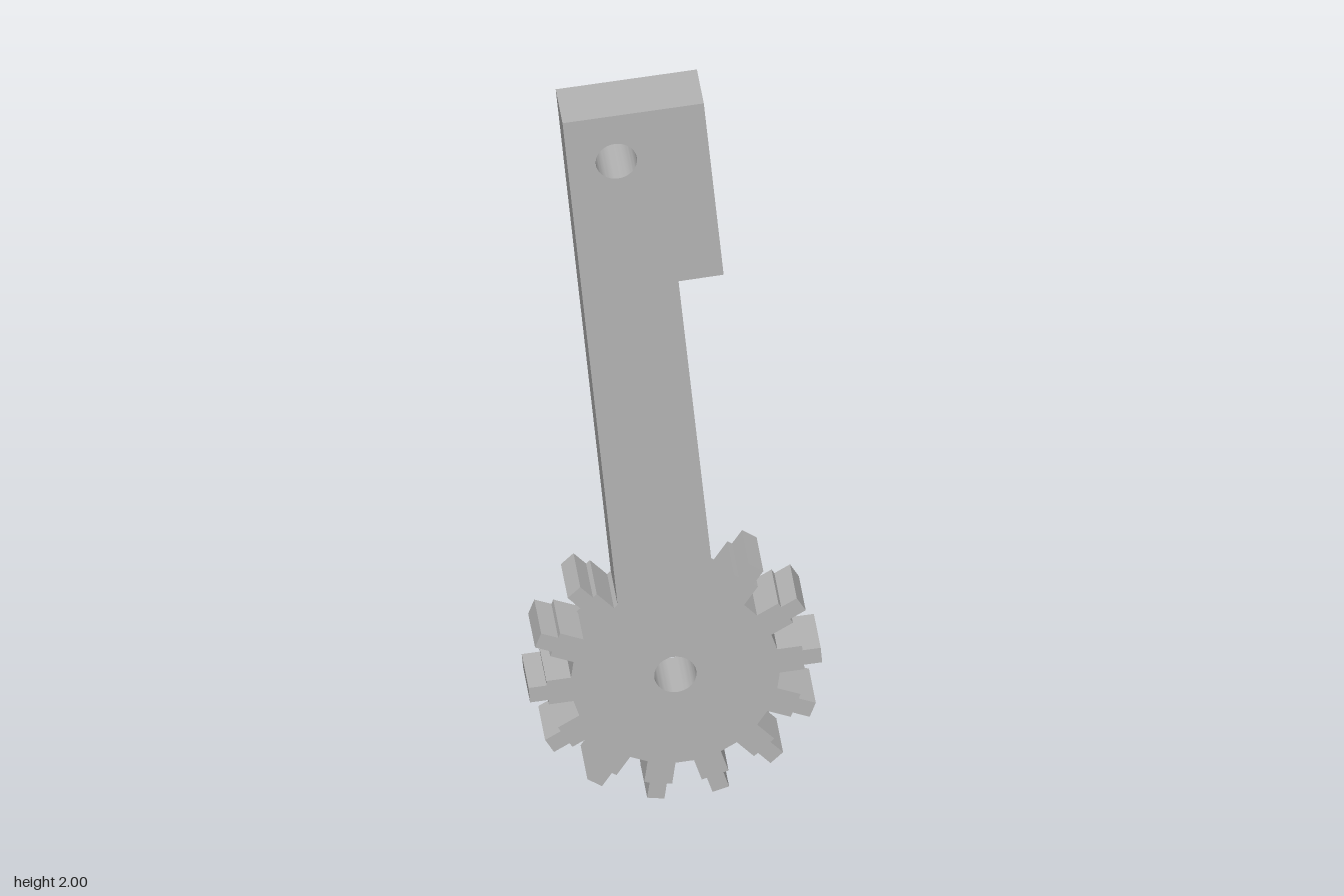
import * as THREE from 'three';
import { toCreasedNormals } from 'three/addons/utils/BufferGeometryUtils.js';

const DEPTH = 0.148;
const HUB = { x: -0.0025, y: 0.358 };
const TOOTH_COUNT = 14;
const VISIBLE_TEETH = 12; // the arm takes the place of two teeth

// Half outline of one stepped tooth: [distance from hub, half width]
const TOOTH_PROFILE = [[0.25, 0.034], [0.31, 0.034], [0.31, 0.021], [0.354, 0.021]];

function toothPoints(angle) {
  const dx = Math.cos(angle), dy = Math.sin(angle);
  const place = ([r, w]) => new THREE.Vector2(HUB.x + dx * r - dy * w, HUB.y + dy * r + dx * w);
  const upper = TOOTH_PROFILE.map(place);
  const lower = TOOTH_PROFILE.map(([r, w]) => place([r, -w])).reverse();
  return [...upper, ...lower];
}

function roundHole(x, y, radius) {
  const hole = new THREE.Path();
  hole.absarc(x, y, radius, 0, Math.PI * 2, false);
  return hole;
}

export function createModel() {
  const group = new THREE.Group();
  group.name = 'gearLever';
  const grey = new THREE.MeshStandardMaterial({ color: 0xb4b4b4 });
  grey.name = 'grey';

  // Tilted arm with a wider head, listed clockwise from its lower left
  const outline = [
    [-0.142, 0.571], [-0.275, 1.968], [0.066, 2.0],
    [0.114, 1.503], [0.005, 1.492], [0.093, 0.595],
  ].map(([x, y]) => new THREE.Vector2(x, y));

  // Teeth continue clockwise around the hub
  for (let i = 0; i < VISIBLE_TEETH; i++) {
    const angle = THREE.MathUtils.degToRad(56.6 - (i * 360) / TOOTH_COUNT);
    outline.push(...toothPoints(angle));
  }

  // One solid plate with the hub bore and the head hole
  const shape = new THREE.Shape(outline);
  shape.holes.push(roundHole(HUB.x, HUB.y + 0.002, 0.051), roundHole(-0.145, 1.849, 0.05));
  const geometry = new THREE.ExtrudeGeometry(shape, { depth: DEPTH, bevelEnabled: false, curveSegments: 32 });
  geometry.translate(0, 0, -DEPTH / 2);

  const plate = new THREE.Mesh(toCreasedNormals(geometry, 0.4), grey);
  plate.name = 'toothedLeverPlate';
  group.add(plate);
  return group;
}
